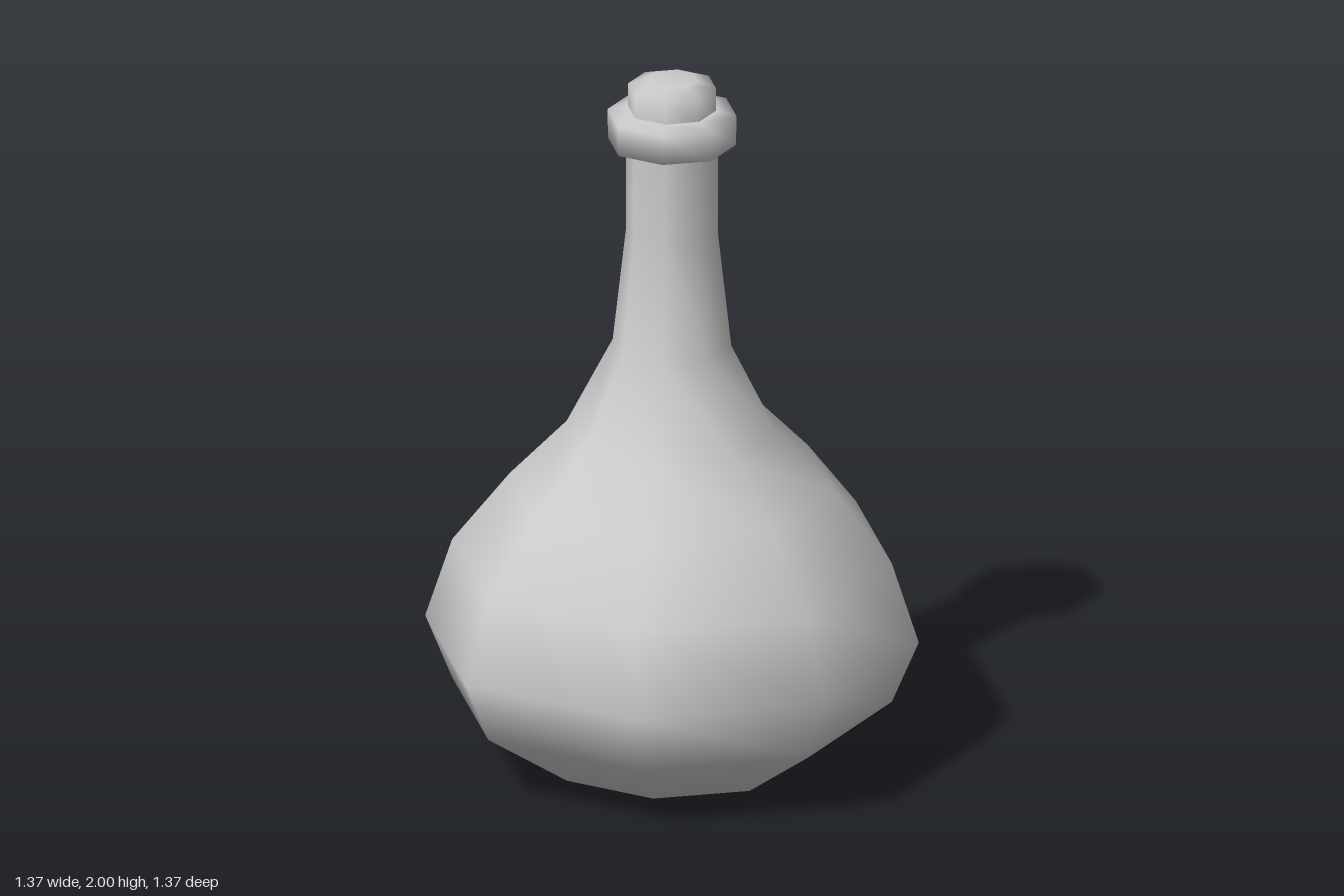
import * as THREE from 'three';

const material = new THREE.MeshStandardMaterial({ color: 0xcccccc, side: THREE.DoubleSide });

// Smooth eight-sided turned part; the diagonal corners sit slightly further out
function turned(name, profile) {
  const geometry = new THREE.LatheGeometry(profile.map(([r, y]) => new THREE.Vector2(r, y)), 8);
  const pos = geometry.attributes.position;
  for (let i = 0; i < pos.count; i++) {
    const x = pos.getX(i), z = pos.getZ(i);
    const s = Math.abs(x * z) > 1e-6 ? 1.028 : 1;
    pos.setXYZ(i, x * s, pos.getY(i), z * s);
  }
  const mesh = new THREE.Mesh(geometry, material);
  mesh.name = name;
  return mesh;
}

export function createModel() {
  const group = new THREE.Group();
  group.name = 'bottle';

  // Closed base, bulging belly and tapering neck
  group.add(turned('body', [
    [0, 0], [0.35, 0.005], [0.612, 0.19], [0.687, 0.37], [0.612, 0.6], [0.452, 0.805],
    [0.293, 0.97], [0.165, 1.22], [0.128, 1.55], [0.128, 1.83],
  ]));

  // Collar around the mouth
  group.add(turned('collar', [
    [0.11, 1.815], [0.178, 1.815], [0.18, 1.9], [0.13, 1.913], [0.1, 1.913],
  ]));

  // Stopper with a bevelled top
  group.add(turned('stopper', [
    [0.122, 1.9], [0.122, 1.98], [0.07, 2], [0, 2],
  ]));

  return group;
}
